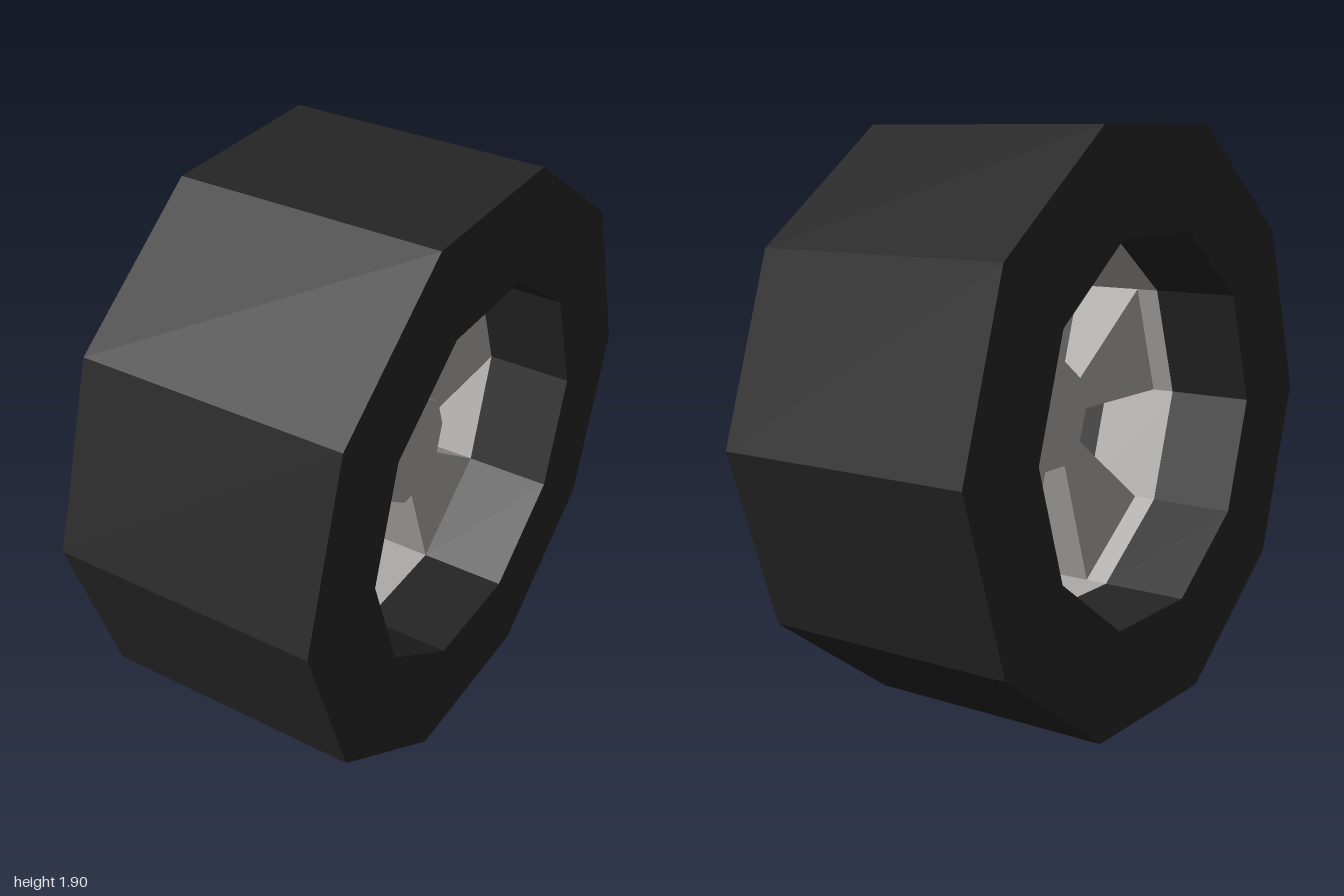
import * as THREE from 'three';

const SIDES = 10;
const RADIUS = 1, HALF_WIDTH = 0.44;
const RIM_RADIUS = 0.645, RIM_HALF = 0.14;
const HUB_RADIUS = 0.187, HUB_FRONT = 0.195, SPOKE_BACK = -0.06;

// Faceted normals
function flat(geometry) {
  const g = geometry.index ? geometry.toNonIndexed() : geometry;
  g.computeVertexNormals();
  return g;
}

// Ten-sided ring turned around the x axle, from [radius, x] pairs
function ring(profile) {
  const points = profile.map(([r, x]) => new THREE.Vector2(r, x));
  return flat(new THREE.LatheGeometry(points, SIDES).rotateZ(-Math.PI / 2));
}

export function createModel() {
  const rubber = new THREE.MeshStandardMaterial({ color: 0x252525 });
  rubber.name = 'blackRubber';
  const metal = new THREE.MeshStandardMaterial({ color: 0xadaaa7 });
  metal.name = 'greyMetal';

  const wheel = new THREE.Group();
  wheel.name = 'wheel';
  const add = (name, geometry, material) => {
    const mesh = new THREE.Mesh(geometry, material);
    mesh.name = name;
    wheel.add(mesh);
  };

  // Tyre: tread, side walls and the dark part of the opening
  add('tyre', ring([
    [RIM_RADIUS, -RIM_HALF], [RIM_RADIUS, -HALF_WIDTH], [RADIUS, -HALF_WIDTH],
    [RADIUS, HALF_WIDTH], [RIM_RADIUS, HALF_WIDTH], [RIM_RADIUS, RIM_HALF],
  ]), rubber);

  // Rim: inward-facing metal band in the middle of the opening
  add('rim', ring([[RIM_RADIUS, RIM_HALF], [RIM_RADIUS, -RIM_HALF]]), metal);

  // Hub: stands proud of the spokes on the outer side, flush behind
  const hub = new THREE.CylinderGeometry(HUB_RADIUS, HUB_RADIUS, HUB_FRONT - SPOKE_BACK, SIDES);
  hub.rotateZ(-Math.PI / 2).translate((HUB_FRONT + SPOKE_BACK) / 2, 0, 0);
  add('hub', flat(hub), metal);

  // Spokes: five wedges, each filling every second facet of the rim
  const step = (2 * Math.PI) / SIDES;
  for (let k = 0; k < SIDES; k += 2) {
    const at = (r, a) => new THREE.Vector2(r * Math.cos(a), r * Math.sin(a));
    const a = k * step, b = a + step;
    const wedge = new THREE.Shape([at(HUB_RADIUS, a), at(RIM_RADIUS, a), at(RIM_RADIUS, b), at(HUB_RADIUS, b)]);
    const spoke = new THREE.ExtrudeGeometry(wedge, { depth: RIM_HALF - SPOKE_BACK, bevelEnabled: false });
    spoke.translate(0, 0, SPOKE_BACK).rotateY(Math.PI / 2);
    add('spoke' + (k / 2 + 1), flat(spoke), metal);
  }

  // Stand the flat bottom facet on the ground
  wheel.position.y = RADIUS * Math.cos(step / 2);
  const model = new THREE.Group();
  model.name = 'wheelModel';
  model.add(wheel);
  return model;
}
